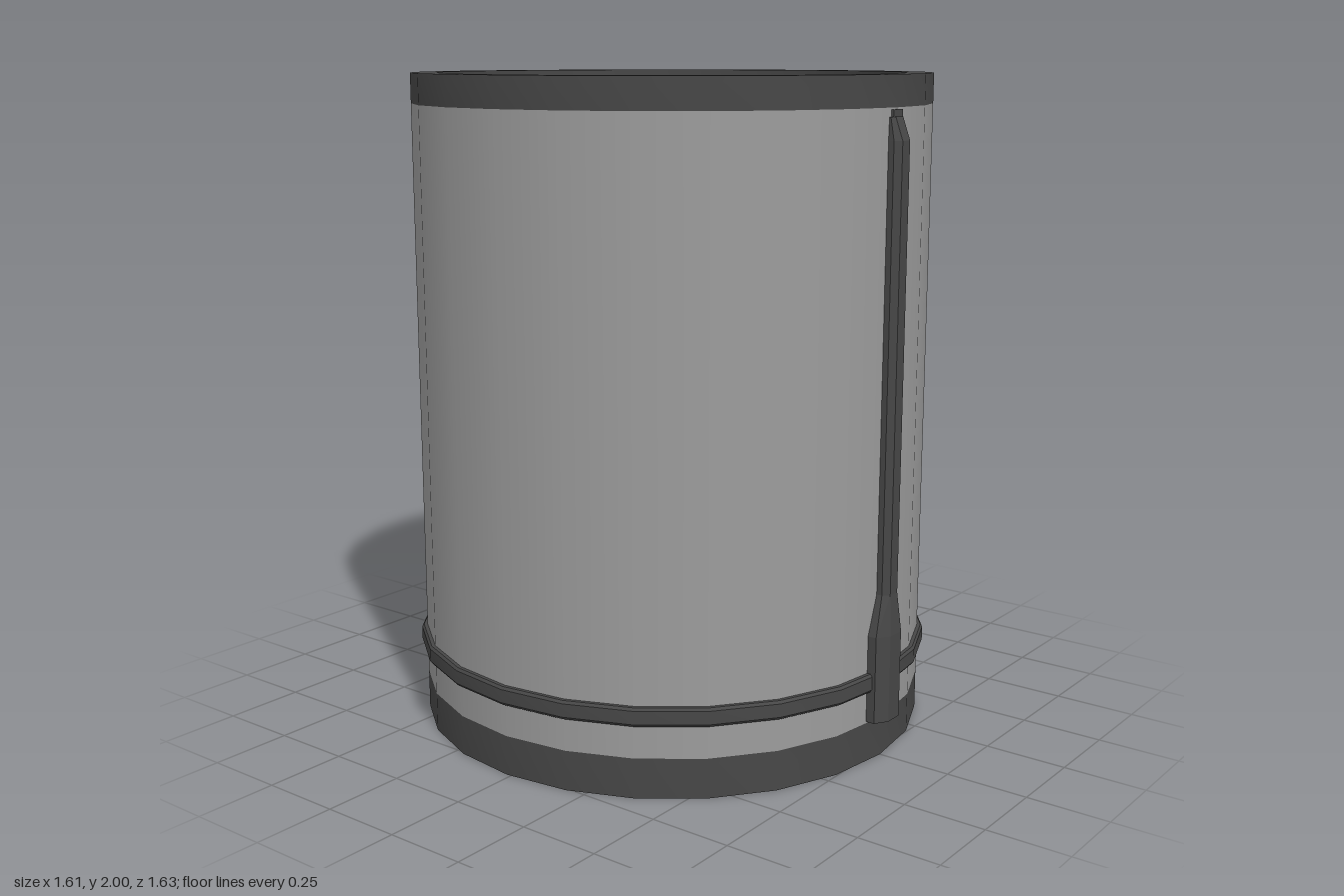
import * as THREE from 'three';
import { toCreasedNormals } from 'three/addons/utils/BufferGeometryUtils.js';

const SIDES = 24;
const CENTRE_Z = -0.014;
const R = 0.786; // outer radius of the sleeve

export function createModel() {
  const model = new THREE.Group();
  const grey = new THREE.MeshStandardMaterial({ color: 0x9c9c9c, side: THREE.DoubleSide });
  grey.name = 'wall grey';
  const dark = new THREE.MeshStandardMaterial({ color: 0x474747 });
  dark.name = 'trim dark grey';

  const add = (name, geometry, material, z = 0) => {
    const mesh = new THREE.Mesh(geometry, material);
    mesh.name = name;
    mesh.position.z = z;
    model.add(mesh);
    return mesh;
  };

  // Closed ring turned from [radius, height] points, outer side first going up
  const ring = (name, points) => {
    const profile = [...points, points[0]].map(([r, y]) => new THREE.Vector2(r, y));
    add(name, toCreasedNormals(new THREE.LatheGeometry(profile, SIDES), 0.5), dark, CENTRE_Z);
  };

  // Thin open sleeve
  const wall = new THREE.CylinderGeometry(R, R, 1.79, SIDES, 1, true);
  wall.translate(0, 1.015, 0);
  add('wall', wall, grey, CENTRE_Z);

  // Collars reach further down inside the sleeve than outside
  ring('topCollar', [[R, 1.91], [R, 2], [0.712, 2], [0.712, 1.725], [0.775, 1.725], [0.775, 1.91]]);
  ring('bottomCollar', [[R, 0], [R, 0.12], [0.775, 0.12], [0.775, 0.275], [0.712, 0.275], [0.712, 0]]);
  ring('hoop', [[0.775, 0.22], [0.797, 0.22], [0.803, 0.228], [0.803, 0.268], [0.797, 0.276], [0.775, 0.276]]);

  // Front strip: chamfered cross-sections [y, half width, front half width, shoulder z, front z]
  const sections = [
    [0.125, 0.07, 0.03, 0.79, 0.815],
    [0.39, 0.07, 0.03, 0.79, 0.815],
    [0.51, 0.035, 0.02, 0.785, 0.804],
    [1.82, 0.035, 0.02, 0.785, 0.804],
    [1.885, 0.033, 0.02, 0.772, 0.78],
  ];
  const loops = sections.map(([y, w, c, zs, zf]) => [
    [w, y, 0.764], [w, y, zs], [c, y, zf], [-c, y, zf], [-w, y, zs], [-w, y, 0.764],
  ]);
  const positions = [];
  const tri = (a, b, c) => positions.push(...a, ...b, ...c);
  for (let i = 0; i < loops.length - 1; i++) {
    const lo = loops[i], hi = loops[i + 1];
    for (let j = 0; j < 5; j++) {
      tri(lo[j], hi[j], lo[j + 1]);
      tri(lo[j + 1], hi[j], hi[j + 1]);
    }
  }
  const first = loops[0], last = loops[loops.length - 1];
  for (let j = 1; j < 5; j++) {
    tri(first[0], first[j], first[j + 1]);
    tri(last[0], last[j + 1], last[j]);
  }
  const strip = new THREE.BufferGeometry();
  strip.setAttribute('position', new THREE.Float32BufferAttribute(positions, 3));
  strip.computeVertexNormals();
  add('frontStrip', strip, dark);

  // Small tip above the strip
  const tip = new THREE.BoxGeometry(0.05, 0.03, 0.014);
  tip.translate(0, 1.89, 0.769);
  add('stripTip', tip, dark);

  // Edges of the strip standing out on the inside of the wall
  for (const s of [1, -1]) {
    const t = 0.01;
    const outline = new THREE.Shape();
    const outer = sections.map(([y, w]) => [s * w, y]);
    const inner = sections.map(([y, w]) => [s * (w - t), y]).reverse();
    outline.setFromPoints([...outer, ...inner].map(([x, y]) => new THREE.Vector2(x, y)));
    const rail = new THREE.ExtrudeGeometry(outline, { depth: 0.02, bevelEnabled: false });
    rail.translate(0, 0, 0.748);
    add(s > 0 ? 'leftInnerRail' : 'rightInnerRail', rail, dark);
  }

  return model;
}
